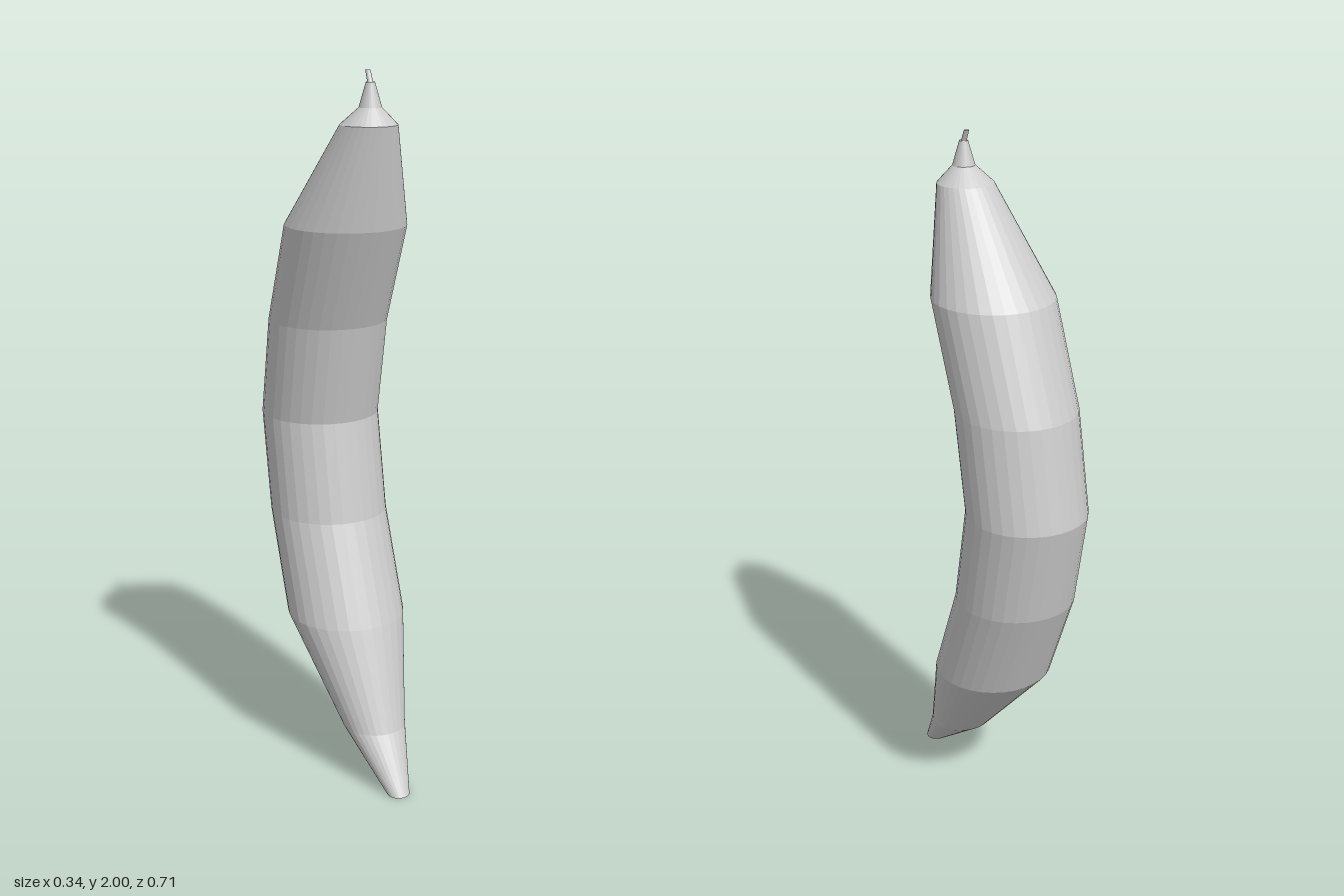
import * as THREE from 'three';

const material = new THREE.MeshStandardMaterial({ color: 0xcccccc, flatShading: true });

// Closed loft through level circular sections, each [y, z centre, radius], bottom to top
function loft(name, sections, sides) {
  const pos = [], index = [];
  for (const [y, z, r] of sections) {
    for (let i = 0; i < sides; i++) {
      const a = (i / sides) * Math.PI * 2;
      pos.push(r * Math.sin(a), y, z + r * Math.cos(a));
    }
  }
  for (let s = 0; s < sections.length - 1; s++) {
    for (let i = 0; i < sides; i++) {
      const j = (i + 1) % sides;
      const a = s * sides + i, b = s * sides + j;
      index.push(a, b, b + sides, a, b + sides, a + sides);
    }
  }
  // End caps
  const top = (sections.length - 1) * sides;
  for (let i = 1; i < sides - 1; i++) {
    index.push(0, i + 1, i, top, top + i, top + i + 1);
  }
  const geometry = new THREE.BufferGeometry();
  geometry.setAttribute('position', new THREE.Float32BufferAttribute(pos, 3));
  geometry.setIndex(index);
  geometry.computeVertexNormals();
  const mesh = new THREE.Mesh(geometry, material);
  mesh.name = name;
  return mesh;
}

export function createModel() {
  const model = new THREE.Group();
  model.name = 'curvedFruit';

  // Bowed body, narrow at the foot and tapering to the shoulder
  model.add(loft('body', [
    [0, 0.323, 0.032],
    [0.155, 0.17, 0.09],
    [0.44, -0.015, 0.17],
    [0.725, -0.13, 0.17],
    [1.01, -0.185, 0.17],
    [1.295, -0.13, 0.17],
    [1.58, -0.015, 0.17],
    [1.86, 0.123, 0.078],
  ], 32));

  // Shoulder and pointed neck
  model.add(loft('neck', [
    [1.86, 0.123, 0.078],
    [1.905, 0.131, 0.031],
    [1.97, 0.131, 0.012],
  ], 32));

  // Thin leaning stem
  model.add(loft('stem', [
    [1.965, 0.132, 0.008],
    [2, 0.116, 0.007],
  ], 16));

  return model;
}
